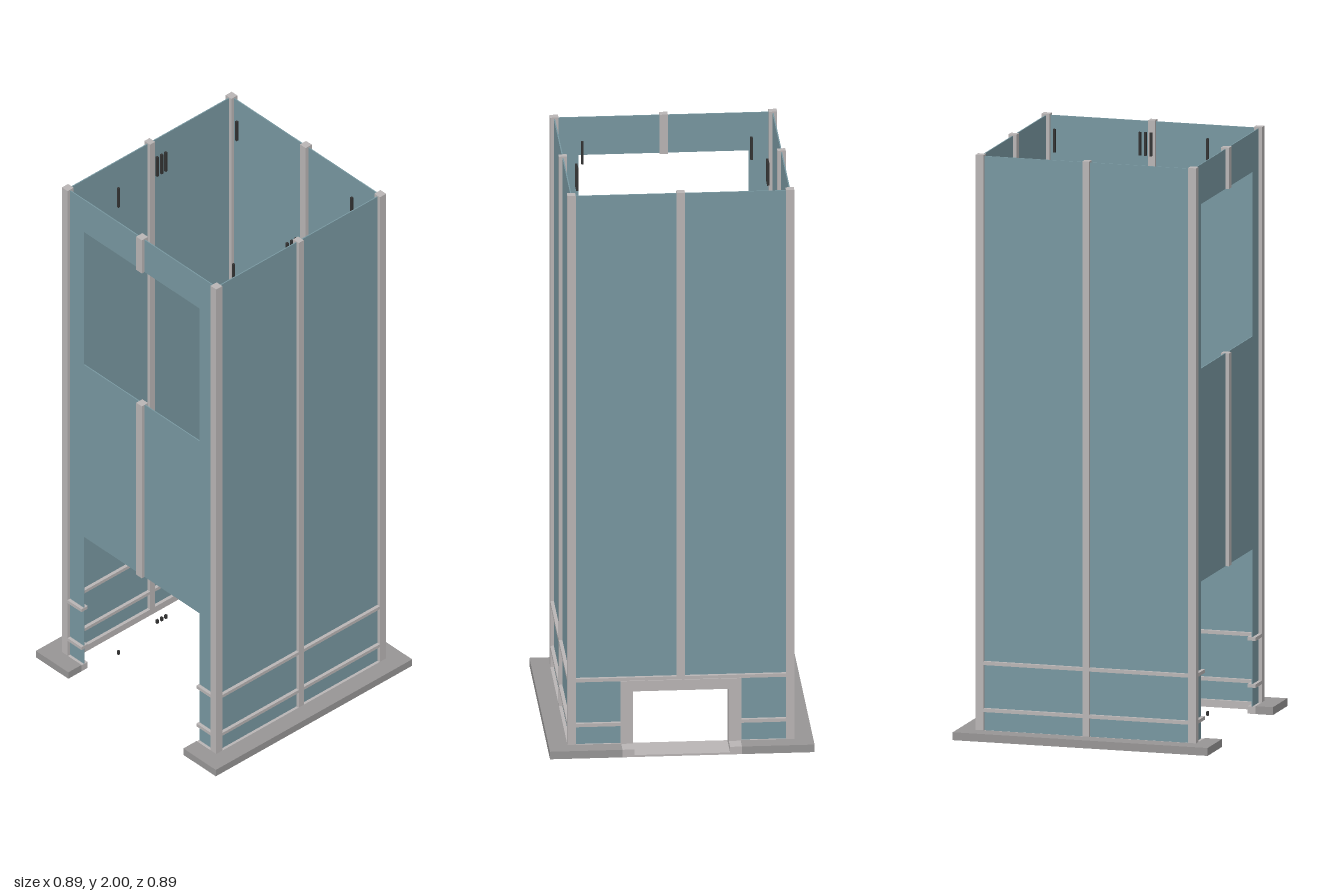
import * as THREE from 'three';

const frameMat = new THREE.MeshStandardMaterial({ color: 0xb9b5b5 });
const baseMat = new THREE.MeshStandardMaterial({ color: 0x979595 });
const panelMat = new THREE.MeshStandardMaterial({ color: 0x7897a0, side: THREE.DoubleSide });
const darkMat = new THREE.MeshStandardMaterial({ color: 0x333333 });

// Box given by its two limits on each axis
function box(parent, name, mat, [x0, x1], [y0, y1], [z0, z1]) {
  const mesh = new THREE.Mesh(new THREE.BoxGeometry(x1 - x0, y1 - y0, z1 - z0), mat);
  mesh.position.set((x0 + x1) / 2, (y0 + y1) / 2, (z0 + z1) / 2);
  mesh.name = name;
  parent.add(mesh);
  return mesh;
}

// The same box on both sides of x = 0
function pair(parent, name, mat, [x0, x1], y, z) {
  box(parent, name + 'Left', mat, [x0, x1], y, z);
  box(parent, name + 'Right', mat, [-x1, -x0], y, z);
}

function rectangle(Type, x0, x1, y0, y1) {
  const r = new Type();
  r.moveTo(x0, y0);
  r.lineTo(x1, y0);
  r.lineTo(x1, y1);
  r.lineTo(x0, y1);
  r.closePath();
  return r;
}

// Thin upright wall sheet
function sheet(parent, name, shape, z) {
  const geo = new THREE.ExtrudeGeometry(shape, { depth: 0.004, bevelEnabled: false });
  const mesh = new THREE.Mesh(geo, panelMat);
  mesh.position.z = z - 0.002;
  mesh.name = name;
  parent.add(mesh);
}

// Wall outline with a notch rising from the floor
function notchedWall(half, notchHalf, notchTop) {
  const s = new THREE.Shape();
  [[-half, 0.02], [-notchHalf, 0.02], [-notchHalf, notchTop], [notchHalf, notchTop],
    [notchHalf, 0.02], [half, 0.02], [half, 1.995], [-half, 1.995]]
    .forEach(([x, y], i) => (i ? s.lineTo(x, y) : s.moveTo(x, y)));
  s.closePath();
  return s;
}

export function createModel() {
  const model = new THREE.Group();
  model.name = 'shaftEnclosure';
  const frontZ = [0.357, 0.385], backZ = [-0.387, -0.359], sideX = [0.352, 0.38];
  const railHeights = [0.11, 0.27];

  // Base flange, open at the front and behind the small door
  const base = new THREE.Group();
  base.name = 'baseFlange';
  model.add(base);
  const baseY = [0.015, 0.042];
  pair(base, 'sideFlange', baseMat, [0.38, 0.443], baseY, [-0.447, 0.445]);
  pair(base, 'frontFlange', baseMat, [0.283, 0.38], baseY, [0.385, 0.445]);
  pair(base, 'backFlange', baseMat, [0.2, 0.38], baseY, [-0.447, -0.387]);

  // Corner posts
  const frame = new THREE.Group();
  frame.name = 'frame';
  model.add(frame);
  for (const z of [frontZ, backZ]) pair(frame, 'cornerPost', frameMat, sideX, [0.015, 2], z);

  // Mullions: side walls, back above the door, front between its openings
  pair(frame, 'sideMullion', frameMat, sideX, [0.015, 2], [-0.013, 0.01]);
  box(frame, 'backMullion', frameMat, [-0.014, 0.014], [0.25, 2], backZ);
  box(frame, 'frontMullionUpper', frameMat, [-0.014, 0.014], [1.86, 2], frontZ);
  box(frame, 'frontMullionLower', frameMat, [-0.014, 0.014], [0.575, 1.3], frontZ);

  // Horizontal rails
  for (const h of railHeights) {
    const y = [h - 0.006, h + 0.006];
    pair(frame, 'sideRail', frameMat, sideX, y, [-0.359, 0.357]);
    pair(frame, 'frontRail', frameMat, [0.283, 0.352], y, frontZ);
    if (h > 0.2) box(frame, 'backRail', frameMat, [-0.352, 0.352], y, backZ);
    else pair(frame, 'backRail', frameMat, [0.2, 0.352], y, backZ);
  }

  // Sill rails
  pair(frame, 'sideSill', frameMat, sideX, [0.015, 0.04], [-0.359, 0.357]);
  pair(frame, 'frontSill', frameMat, [0.283, 0.352], [0.015, 0.04], frontZ);
  pair(frame, 'backSill', frameMat, [0.2, 0.352], [0.015, 0.04], backZ);

  // Wall sheets
  const walls = new THREE.Group();
  walls.name = 'walls';
  model.add(walls);
  const front = notchedWall(0.366, 0.285, 0.575);
  front.holes.push(rectangle(THREE.Path, -0.285, 0.285, 1.3, 1.86));
  sheet(walls, 'frontWall', front, 0.371);
  sheet(walls, 'backWall', notchedWall(0.366, 0.18, 0.25), -0.373);
  pair(walls, 'sideWall', panelMat, [0.364, 0.368], [0.02, 1.995], [-0.372, 0.37]);

  // Small rear door frame with threshold
  const door = new THREE.Group();
  door.name = 'rearDoorFrame';
  model.add(door);
  pair(door, 'jamb', frameMat, [0.16, 0.202], [0.015, 0.265], [-0.391, -0.33]);
  box(door, 'lintel', frameMat, [-0.16, 0.16], [0.228, 0.265], [-0.391, -0.33]);
  pair(door, 'jambFoot', frameMat, [0.16, 0.2], baseY, [-0.447, -0.391]);
  box(door, 'threshold', frameMat, [-0.16, 0.16], [0.015, 0.022], [-0.447, -0.33]);

  // Short hanger pins near the top and matching pins at the floor
  const pins = new THREE.Group();
  pins.name = 'pins';
  model.add(pins);
  const spots = [[0.283, -0.32], [0.283, 0.217], [0.32, -0.032], [0.32, -0.013], [0.32, 0.007]];
  for (const [x, z] of spots) {
    const px = [x - 0.004, x + 0.004], pz = [z - 0.004, z + 0.004];
    pair(pins, 'topPin', darkMat, px, [1.885, 1.965], pz);
    pair(pins, 'floorPin', darkMat, px, [0, 0.014], pz);
  }
  return model;
}
